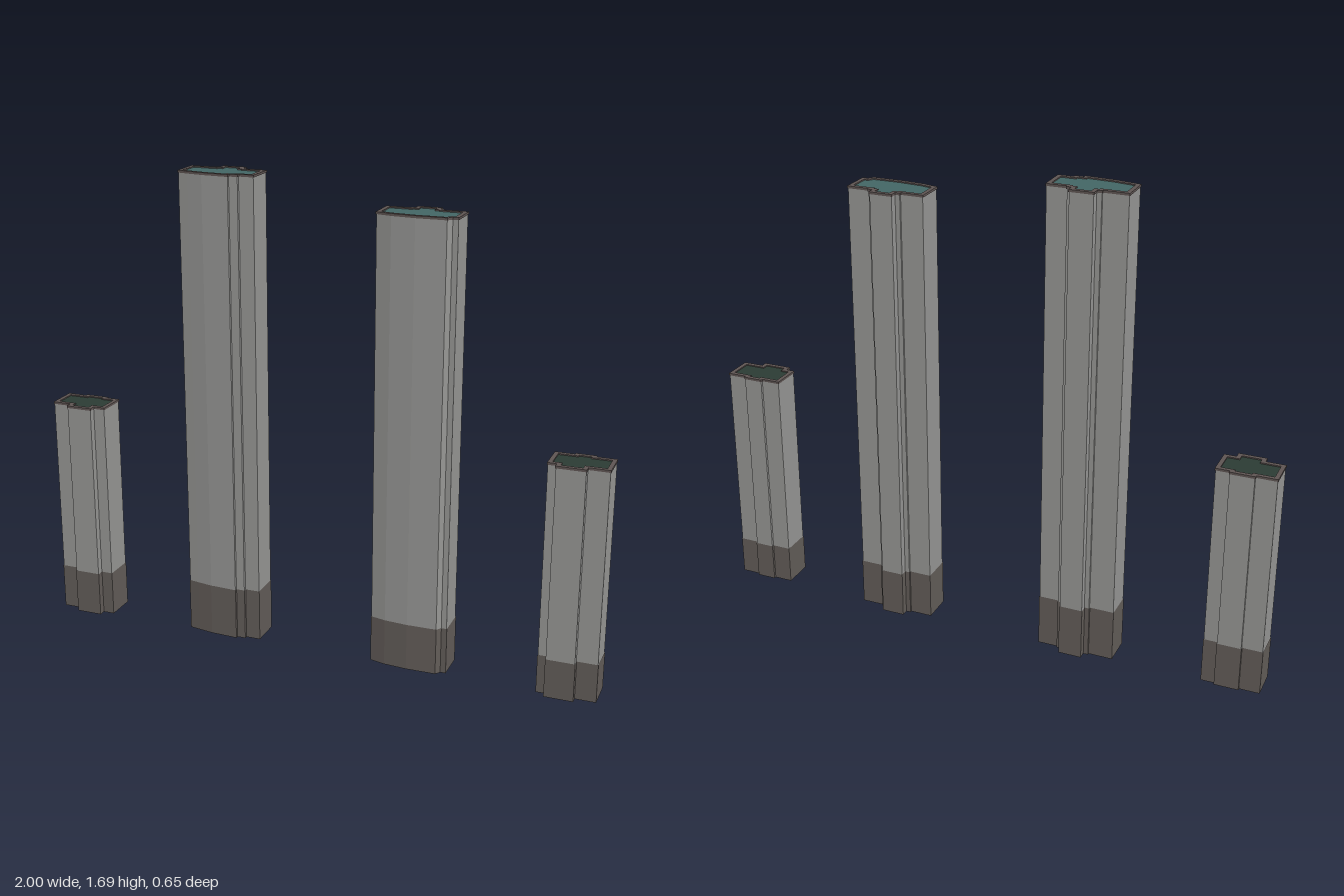
import * as THREE from 'three';

const mat = (name, color, side = THREE.FrontSide) => {
  const m = new THREE.MeshStandardMaterial({ color, side });
  m.name = name;
  return m;
};

// Outline moved outward (d > 0) or inward (d < 0) with mitred corners
function offset(pts, d) {
  const n = pts.length;
  const normal = (a, b) => {
    const l = Math.hypot(b[0] - a[0], b[1] - a[1]);
    return [(b[1] - a[1]) / l, (a[0] - b[0]) / l];
  };
  return pts.map((p, i) => {
    const m = normal(pts[(i + n - 1) % n], p), k = normal(p, pts[(i + 1) % n]);
    const s = d / (1 + m[0] * k[0] + m[1] * k[1]);
    return [p[0] + (m[0] + k[0]) * s, p[1] + (m[1] + k[1]) * s];
  });
}

// Open vertical wall around an outline
function wall(pts, y0, y1) {
  const v = [];
  pts.forEach((a, i) => {
    const b = pts[(i + 1) % pts.length];
    const [A, B] = [[a[0], y0, -a[1]], [b[0], y0, -b[1]]];
    const [C, D] = [[b[0], y1, -b[1]], [a[0], y1, -a[1]]];
    v.push(...A, ...B, ...C, ...A, ...C, ...D);
  });
  const g = new THREE.BufferGeometry();
  g.setAttribute('position', new THREE.Float32BufferAttribute(v, 3));
  g.computeVertexNormals();
  return g;
}

const toShape = (pts) => new THREE.Shape(pts.map((p) => new THREE.Vector2(...p)));

// Outlines: [along, front-to-back], front is negative, front edge left to right
const outlines = {
  lowWest: [[-0.102, -0.055], [-0.033, -0.055], [-0.033, -0.08], [0.06, -0.08], [0.06, -0.055], [0.102, -0.055],
    [0.102, 0.053], [0.053, 0.053], [0.053, 0.062], [-0.03, 0.062], [-0.03, 0.053], [-0.102, 0.053]],
  lowEast: [[-0.102, -0.055], [-0.07, -0.055], [-0.07, -0.078], [0.029, -0.078], [0.029, -0.055], [0.102, -0.055],
    [0.102, 0.053], [0.032, 0.053], [0.032, 0.062], [-0.035, 0.062], [-0.035, 0.053], [-0.102, 0.053]],
  highWest: [[-0.137, -0.053], [-0.1, -0.06], [-0.045, -0.069], [0.053, -0.074], [0.053, -0.064], [0.084, -0.064],
    [0.084, -0.053], [0.137, -0.053], [0.137, 0.053], [0.065, 0.053], [0.065, 0.06], [0.048, 0.06], [0.048, 0.087],
    [-0.033, 0.087], [-0.033, 0.06], [-0.05, 0.06], [-0.05, 0.053], [-0.137, 0.053]],
  highEast: [[-0.137, -0.053], [-0.083, -0.066], [0, -0.073], [0.105, -0.071], [0.118, -0.053], [0.137, -0.053],
    [0.137, 0.053], [0.057, 0.053], [0.057, 0.06], [0.04, 0.06], [0.04, 0.086],
    [-0.04, 0.086], [-0.04, 0.06], [-0.057, 0.06], [-0.057, 0.053], [-0.137, 0.053]],
};

export function createModel() {
  const glass = mat('facadeGrey', 0x969694, THREE.DoubleSide);
  const stone = mat('baseBrown', 0x625c58);
  const trim = mat('rimBrown', 0x5f5553);
  const teal = mat('roofTeal', 0x436665);
  const green = mat('roofDarkGreen', 0x2b3b34);

  const model = new THREE.Group();
  model.name = 'towerRow';

  const towers = [
    ['lowWest', -0.883, -0.248, 0.815, 0.165, green],
    ['highWest', -0.338, -0.105, 1.69, 0.19, teal],
    ['highEast', 0.342, 0.08, 1.6, 0.17, teal],
    ['lowEast', 0.884, 0.238, 0.83, 0.14, green],
  ];

  for (const [key, x, z, height, baseHeight, roofMat] of towers) {
    const tower = new THREE.Group();
    tower.name = key + 'Tower';
    tower.position.set(x, 0, z);
    tower.rotation.y = -Math.PI / 12;
    const add = (name, geo, material) => {
      const mesh = new THREE.Mesh(geo, material);
      mesh.name = name;
      tower.add(mesh);
      return mesh;
    };
    const pts = outlines[key];

    // Hollow facade with a plinth skin around its foot
    add('facade', wall(pts, 0, height - 0.006), glass);
    add('base', wall(offset(pts, 0.0015), 0, baseHeight), stone);

    // Rim around the roof edge
    const inner = offset(pts, -0.013);
    const ring = toShape(offset(pts, 0.002));
    ring.holes.push(new THREE.Path(inner.map((p) => new THREE.Vector2(...p))));
    const rim = new THREE.ExtrudeGeometry(ring, { depth: 0.008, bevelEnabled: false });
    add('rim', rim.rotateX(-Math.PI / 2), trim).position.y = height - 0.008;

    // Roof panel just below the rim
    const roof = new THREE.ShapeGeometry(toShape(inner));
    add('roof', roof.rotateX(-Math.PI / 2), roofMat).position.y = height - 0.004;

    model.add(tower);
  }
  return model;
}
